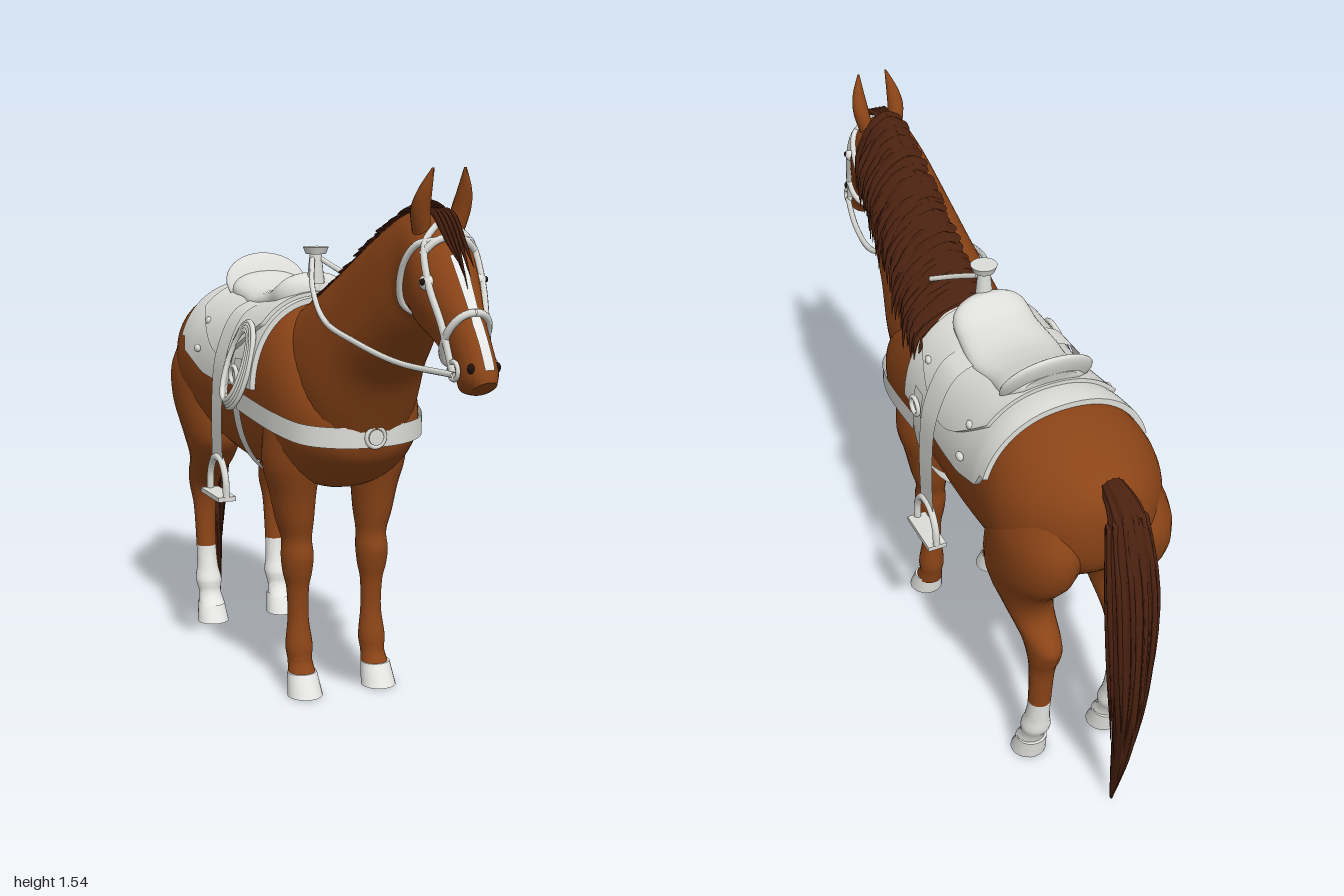
import * as THREE from 'three';
import { toCreasedNormals } from 'three/addons/utils/BufferGeometryUtils.js';

const V = (x, y, z) => new THREE.Vector3(x, y, z);
const mat = (name, color, side = THREE.FrontSide) => Object.assign(new THREE.MeshStandardMaterial({ color, side }), { name });
const noise = (k) => { const s = Math.sin(k * 12.9898) * 43758.5453; return s - Math.floor(s); };

// Section rows are [cx, cy, cz, halfWidthX, hy, hz, egg]; the ring is centre + x*w*sin + h*cos
const tb = (tz, ty, bz, by, w, egg = 0) => [0, (ty + by) / 2, (tz + bz) / 2, w, (ty - by) / 2, (tz - bz) / 2, egg];
const lv = (y, z1, z2, x, w) => [x, y, (z1 + z2) / 2, w, 0, (z1 - z2) / 2, 0];
const spow = (v, p) => Math.sign(v) * Math.abs(v) ** p;

function surface(rows, p = 0.9, ridge = 0) {
  const at = (u) => {
    const n = rows.length - 1, i = Math.min(Math.max(Math.floor(u), 0), n - 1), t = u - i;
    const [a, b, c, d] = [Math.max(i - 1, 0), i, i + 1, Math.min(i + 2, n)].map((k) => rows[k]);
    return b.map((q, k) => q + 0.5 * t * (c[k] - a[k] + t * (2 * a[k] - 5 * q + 4 * c[k] - d[k] + t * (3 * (q - c[k]) + d[k] - a[k]))));
  };
  const point = (u, ang, off = 0) => {
    const [x, y, z, w, hy, hz, egg] = at(u), h = Math.hypot(hy, hz) || 1e-6;
    const r = 1 + ridge * Math.cos(ang * 11 + u * 0.4), c = spow(Math.cos(ang), p) * (1 + off / h) * r;
    const s = spow(Math.sin(ang), p) * (w + off) * (1 - egg * Math.cos(ang)) * r;
    return V(x + s, y + hy * c, z + hz * c);
  };
  const uAtZ = (z) => {
    let lo = 0, hi = rows.length - 1;
    for (let k = 0; k < 30; k++) { const m = (lo + hi) / 2; if (at(m)[2] < z) lo = m; else hi = m; }
    return lo;
  };
  return { at, point, uAtZ, end: rows.length - 1 };
}

function grid(f, nu, nv, closed = false) {
  const pos = [], idx = [], pts = [];
  for (let i = 0; i <= nu; i++) for (let j = 0; j <= nv; j++) { const q = f(i, j); pts.push(q); pos.push(q.x, q.y, q.z); }
  for (let i = 0; i < nu; i++) for (let j = 0; j < nv; j++) {
    const a = i * (nv + 1) + j, b = a + nv + 1;
    idx.push(a, b, a + 1, b, b + 1, a + 1);
  }
  // closed shapes are turned so that their faces point outward
  let vol = 0;
  for (let k = 0; k < idx.length; k += 3) vol += pts[idx[k]].dot(V(0, 0, 0).crossVectors(pts[idx[k + 1]], pts[idx[k + 2]]));
  if (closed && vol < 0) idx.reverse();
  const g = new THREE.BufferGeometry();
  g.setAttribute('position', new THREE.Float32BufferAttribute(pos, 3));
  g.setIndex(idx);
  return toCreasedNormals(g, 1.0);
}

// Capped solid through the section rows
function loft(s, nu = 40, nv = 28, u0 = 0, u1 = s.end) {
  return grid((i, j) => {
    const u = u0 + (u1 - u0) * Math.min(Math.max((i - 1) / (nu - 2), 0), 1);
    if (i === 0 || i === nu) { const c = s.at(u); return V(c[0], c[1], c[2]); }
    return s.point(u, 2 * Math.PI * (j % nv) / nv);
  }, nu, nv, true);
}

const tube = (pts, r, n = 40, closed = false) =>
  new THREE.TubeGeometry(new THREE.CatmullRomCurve3(pts, closed), n, r, 8, closed);
const ribbon = (pts, axis, n = 40) => {
  const c = new THREE.CatmullRomCurve3(pts);
  return grid((i, j) => c.getPoint(i / n).addScaledVector(axis, j - 0.5), n, 1);
};

export function createModel() {
  const root = new THREE.Group();
  root.name = 'saddledHorse';
  const coat = mat('chestnut coat', 0x8b4417), hair = mat('dark hair', 0x4a2110, THREE.DoubleSide);
  const white = mat('white markings', 0xe8e8e6, THREE.DoubleSide), tack = mat('pale tack', 0xdcdcd8, THREE.DoubleSide);
  const dark = mat('dark details', 0x1c120d);
  const add = (name, geo, m, x = 0, y = 0, z = 0) => {
    const o = new THREE.Mesh(geo, m);
    o.name = name; o.position.set(x, y, z); root.add(o);
    return o;
  };

  // Barrel, rump and chest
  const body = surface([
    tb(-.82, 1.0, -.82, .88, .045), tb(-.79, 1.055, -.79, .8, .12), tb(-.7, 1.095, -.7, .72, .2), tb(-.6, 1.125, -.6, .68, .235),
    tb(-.5, 1.14, -.5, .65, .235), tb(-.4, 1.13, -.4, .62, .226), tb(-.25, 1.12, -.25, .6, .218), tb(-.1, 1.13, -.1, .6, .213),
    tb(.05, 1.13, .05, .61, .213), tb(.2, 1.06, .2, .62, .208), tb(.29, .99, .29, .67, .18), tb(.35, .92, .35, .72, .125), tb(.375, .86, .375, .77, .055)]);
  add('body', loft(body, 60, 40), coat);

  // Neck and head in one sweep
  const neck = surface([
    tb(-.02, 1.12, .34, .72, .165, .1), tb(.12, 1.18, .395, .83, .16, .22), tb(.27, 1.26, .46, .945, .137, .26), tb(.42, 1.34, .53, 1.02, .12, .24),
    tb(.56, 1.405, .615, 1.11, .1, .15), tb(.66, 1.43, .66, 1.16, .086, .05), tb(.74, 1.41, .695, 1.155, .087), tb(.79, 1.37, .73, 1.13, .088),
    tb(.85, 1.29, .775, 1.11, .073), tb(.91, 1.2, .83, 1.07, .053), tb(.96, 1.13, .88, 1.02, .046), tb(.99, 1.075, .9, 1.0, .045), tb(1.0, 1.04, .94, 1.0, .03)]);
  add('neckAndHead', loft(neck, 72, 32), coat);
  add('blaze', grid((i, j) => neck.point(7.6 + i * .15, (j / 6 - .5) * (i < 12 ? .4 : .46), .005), 24, 6), white);

  // Legs, socks and hooves
  for (const s of [1, -1]) {
    const side = s > 0 ? 'left' : 'right';
    const fore = surface([
      lv(.85, .24, -.02, s * .12, .08), lv(.7, .215, 0, s * .135, .083), lv(.6, .19, .02, s * .13, .066), lv(.52, .175, .035, s * .125, .055),
      lv(.46, .162, .055, s * .12, .044), lv(.41, .17, .058, s * .12, .047), lv(.36, .162, .068, s * .12, .043), lv(.31, .15, .08, s * .119, .033),
      lv(.22, .147, .083, s * .118, .031), lv(.14, .162, .08, s * .118, .04), lv(.095, .165, .09, s * .118, .036), lv(.055, .19, .1, s * .118, .042)], 1);
    add(side + 'ForeLeg', loft(fore, 50, 20), coat);
    const hind = surface([
      lv(.98, -.5, -.75, s * .11, .08), lv(.87, -.45, -.805, s * .125, .108), lv(.76, -.42, -.785, s * .135, .103), lv(.65, -.415, -.7, s * .138, .085),
      lv(.57, -.48, -.685, s * .132, .066), lv(.5, -.57, -.745, s * .127, .051), lv(.45, -.62, -.738, s * .125, .046), lv(.38, -.637, -.71, s * .125, .037),
      lv(.25, -.632, -.697, s * .125, .033), lv(.18, -.618, -.692, s * .125, .035), lv(.135, -.602, -.69, s * .125, .043), lv(.095, -.6, -.668, s * .125, .037),
      lv(.055, -.575, -.652, s * .125, .044)], 1);
    add(side + 'HindLeg', loft(hind, 46, 22, 0, 8), coat);
    add(side + 'HindSock', loft(hind, 24, 22, 8), white);
    for (const [name, x, front, back] of [['ForeHoof', .119, .222, .115], ['HindHoof', .125, -.552, -.655]]) {
      add(side + name, loft(surface([lv(.065, front - .035, back - .01, s * x, .044), lv(0, front, back, s * x, .052)], 1), 6, 20), white);
      add(side + name + 'Sole', new THREE.CylinderGeometry(.033, .033, .006, 20), hair, s * x, .0015, (front + back) / 2 - .005);
    }

    // Ears, eyes, nostrils
    add(side + 'Ear', loft(surface([lv(1.37, .755, .7, s * .045, .021), lv(1.43, .768, .712, s * .056, .024),
      lv(1.48, .78, .74, s * .055, .018), lv(1.535, .786, .778, s * .044, .003)], 1), 18, 14), coat);
    add(side + 'Eye', new THREE.SphereGeometry(.02, 16, 12), white, s * .071, 1.262, .808);
    add(side + 'Pupil', new THREE.SphereGeometry(.009, 12, 8), dark, s * .085, 1.264, .814);
    add(side + 'Nostril', new THREE.SphereGeometry(.011, 10, 8), dark, s * .035, 1.07, .968).scale.set(.8, 1.2, 1);

    // Bridle cheek strap and bit ring
    const on = (u, a) => neck.point(u, s * a, .006);
    add(side + 'CheekStrap', tube([on(6.3, .1), on(6.9, .7), on(7.8, 1.1), on(8.8, 1.4), on(10, 1.9)], .009), tack);
    add(side + 'ThroatStrap', tube([on(7.1, .4), on(6.6, .9), on(6, 1.5), on(5.4, 2.3), on(5.3, 3.14)], .009), tack);
    add(side + 'BitRing', new THREE.TorusGeometry(.022, .006, 8, 20), tack, s * .053, 1.06, .915).rotation.y = Math.PI / 2;

    // Stirrup leather and stirrup
    add(side + 'StirrupLeather', ribbon([V(s * .1, 1.13, -.185), V(s * .18, 1.09, -.185), V(s * .238, .97, -.185), V(s * .255, .82, -.185),
      V(s * .255, .64, -.185)], V(0, 0, .09)), tack);
    add(side + 'StirrupArch', tube([V(s * .255, .545, -.11), V(s * .255, .6, -.115), V(s * .255, .645, -.145), V(s * .255, .655, -.18),
      V(s * .255, .645, -.215), V(s * .255, .6, -.245), V(s * .255, .545, -.25)], .011), tack);
    add(side + 'StirrupTread', new THREE.BoxGeometry(.056, .014, .155), tack, s * .255, .54, -.18);

    // Round studs on the saddle skirt and the girth ring
    for (const [z, a] of [[-.07, .9], [-.38, .95], [-.39, 1.3]]) {
      const q = body.point(body.uAtZ(z), s * a, .025);
      add(side + 'Stud', new THREE.SphereGeometry(.016, 12, 8), tack, q.x, q.y, q.z).scale.set(.6, .8, 1);
    }
    add(side + 'GirthRing', new THREE.TorusGeometry(.026, .007, 8, 20), tack, s * .24, .92, -.078).rotation.y = Math.PI / 2;
  }

  // Reins: the left one passes under the mane, the right one runs up to the horn
  const rein = (s) => [V(s * .053, 1.05, .915), V(s * .1, 1.055, .72), V(s * .128, 1.085, .52)];
  add('leftRein', tube([...rein(1), V(.11, 1.115, .43)], .009), tack);
  add('leftReinEnd', tube([V(.095, 1.185, .13), V(.05, 1.22, .06), V(.015, 1.255, -.015)], .008, 16), tack);
  add('rightRein', tube([...rein(-1), V(-.137, 1.12, .35), V(-.09, 1.19, .16), V(-.015, 1.255, -.015)], .008), tack);

  // Noseband and browband
  for (const [name, u, a0, a1] of [['noseband', 9.1, 0, 6.28], ['browband', 7.1, -.9, .9]])
    add(name, tube(Array.from({ length: 25 }, (_, k) => neck.point(u, a0 + (a1 - a0) * k / 24, .005)), .01, 48), tack);

  // Saddle blanket and skirt, shells over the back with rims turned in
  const shell = (z0, z1, reach, off) => grid((i, j) => {
    const t = i / 30, rim = i === 0 || i === 30 || j === 0 || j === 40;
    const v = Math.min(Math.max((j - 1) / 38, 0), 1) * 2 - 1, tt = Math.min(Math.max((i - 1) / 28, 0), 1);
    return body.point(body.uAtZ(z0 + (z1 - z0) * tt), v * reach(t), rim ? 0 : off);
  }, 30, 40);
  add('saddleBlanket', shell(-.535, .025, (t) => (t < .09 ? 1.27 : 1.52 - .45 * Math.max(0, .32 - t)), .016), tack);
  add('saddleSkirt', shell(-.45, 0, (t) => .75 + .5 * Math.sin(Math.PI * t), .027), tack);

  // Seat, cantle and horn
  add('saddleSeat', loft(surface([tb(-.45, 1.19, -.43, 1.12, .08), tb(-.4, 1.19, -.4, 1.08, .12), tb(-.31, 1.165, -.31, 1.07, .12), tb(-.22, 1.155, -.22, 1.07, .13),
    tb(-.12, 1.175, -.12, 1.08, .12), tb(-.055, 1.215, -.055, 1.09, .11), tb(-.015, 1.2, -.015, 1.1, .07)]), 36, 28), tack);
  const cantle = add('cantle', new THREE.SphereGeometry(1, 28, 18), tack, 0, 1.155, -.41);
  cantle.scale.set(.135, .1, .022);
  cantle.rotation.x = -.48;
  add('hornPost', new THREE.CylinderGeometry(.016, .026, .1, 16), tack, 0, 1.235, -.025);
  add('hornCap', new THREE.CylinderGeometry(.038, .03, .02, 24), tack, 0, 1.281, -.024);

  // Girth under the belly
  add('girth', grid((i, j) => body.point(body.uAtZ(-.105 + .055 * j), 1.25 + (2 * Math.PI - 2.5) * i / 48, .022), 48, 1), tack);

  // Breast collar with its medallion
  const half = [[.238, .85, -.06], [.234, .835, .08], [.22, .82, .2], [.182, .805, .305], [.1, .8, .37]];
  add('breastCollar', ribbon([...half.map(([x, y, z]) => V(-x, y, z)), V(0, .798, .384), ...half.slice().reverse().map((q) => V(...q))], V(0, .058, 0), 60), tack);
  add('collarRing', new THREE.TorusGeometry(.028, .006, 8, 24), tack, 0, .798, .386);
  add('collarDisc', new THREE.CylinderGeometry(.022, .022, .01, 20), tack, 0, .798, .386).rotation.x = Math.PI / 2;

  // Coiled rope on the right side
  for (let k = 0; k < 4; k++)
    add('ropeCoil', tube(Array.from({ length: 16 }, (_, i) => {
      const a = i * Math.PI / 8;
      return V(-.226 + .034 * Math.cos(a) - .004 * k, .95 + (.125 - .008 * k) * Math.cos(a), -.07 + (.08 - .006 * k) * Math.sin(a));
    }), .008, 40, true), tack);

  // Hair locks: flat tapered strands along a curve
  const lock = (name, pts, thick, wide) => {
    const c = new THREE.CatmullRomCurve3(pts);
    const rows = Array.from({ length: 9 }, (_, k) => {
      const q = c.getPoint(k / 8), t = Math.max(.06, 1 - (k / 8) ** 3);
      return [q.x, q.y, q.z, thick * t, .006 * t, wide * t, 0];
    });
    add(name, loft(surface(rows, 1), 14, 8), hair);
  };
  add('maneCrest', tube([V(0, 1.425, .66), V(0, 1.4, .56), V(0, 1.335, .42), V(0, 1.255, .27), V(.01, 1.175, .12), V(.01, 1.14, .03)], .016), hair);
  for (let k = 0; k < 72; k++) {
    const t = k / 71, u = .3 + 4.75 * t, top = neck.point(u, 0), w = neck.at(u)[3];
    const len = .155 + .055 * t + .06 * (noise(k) - .5), dx = .024 * (noise(k + 99) - .5), z = top.z - .01 * (1 - t);
    const y = top.y + .012 * noise(k + 31), drift = .03 * noise(k + 7);
    lock('maneLock', [V(-.02 - .015 * noise(k + 55), y - .008, z), V(.005, y + .008, z), V(w * .6, y - .02, z + .004), V(w * .95 + .022 + dx, y - len * .55, z - drift * .3),
      V(w + .03 + dx, y - len, z - drift)], .012, .016);
  }
  for (let k = -2; k <= 2; k++)
    lock('forelock', [V(k * .006, 1.43, .67), V(k * .012, 1.425, .75), V(k * .011, 1.36, .82), V(k * .008, 1.25 + .025 * Math.abs(k), .883)], .006, .01);

  // Tail: ridged core with loose strands
  const tail = surface([
    tb(-.78, 1.085, -.77, 1.03, .03), tb(-.86, 1.065, -.81, 1.0, .042), tb(-.92, 1.0, -.835, .93, .052), tb(-.965, .85, -.855, .81, .062), tb(-.985, .65, -.862, .64, .058),
    tb(-.985, .45, -.872, .45, .039), tb(-.955, .25, -.872, .25, .019), tb(-.915, .1, -.872, .1, .009), tb(-.885, 0, -.875, 0, .003)], 1, .07);
  add('tail', loft(tail, 50, 66), hair);
  for (let k = 0; k < 12; k++) {
    const a = k * Math.PI / 6, e = 5.4 + 1.6 * noise(k);
    lock('tailLock', [1.5, 3, 4.5, e].map((u) => tail.point(u, a, .002)), .008, .009);
  }
  return root;
}
